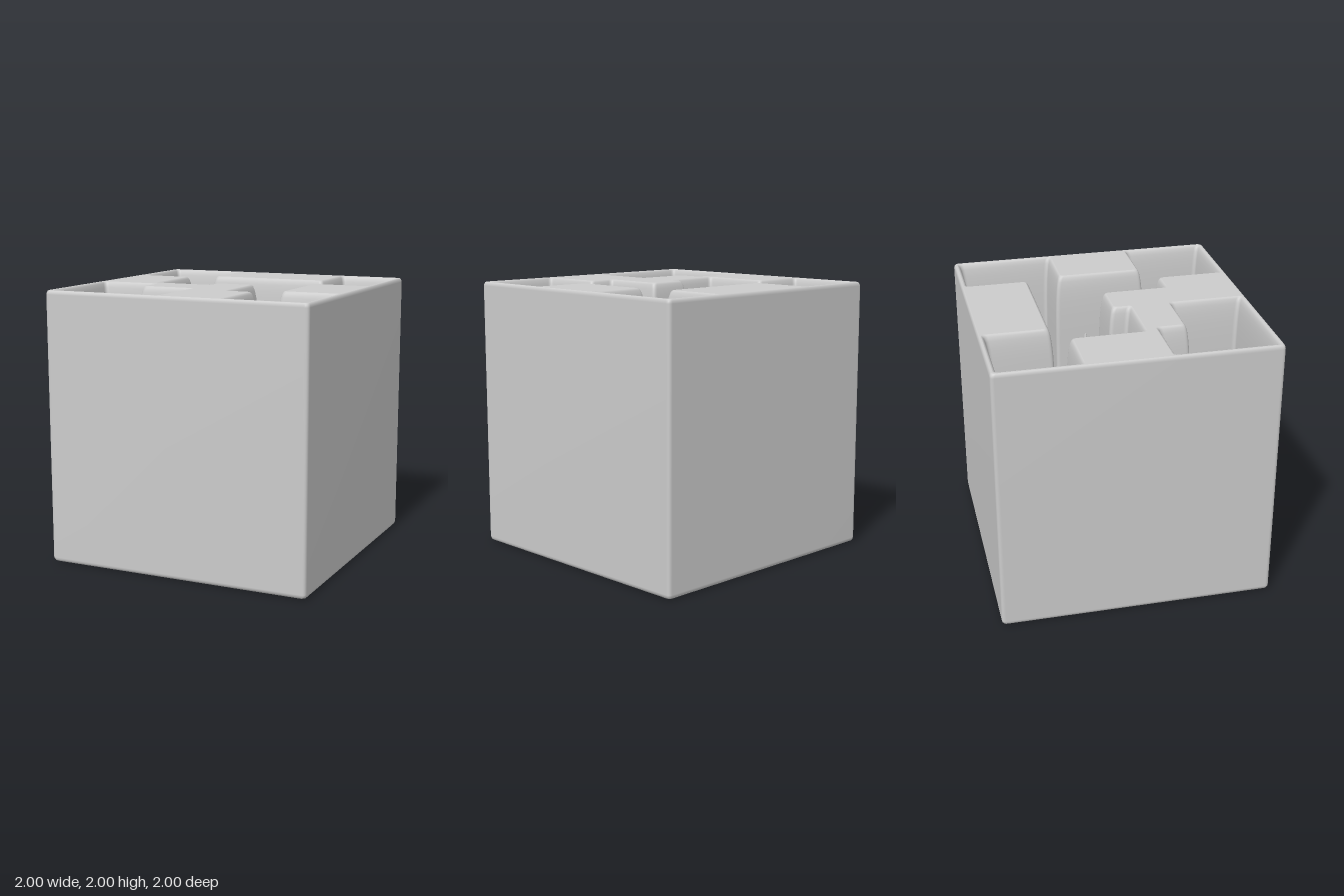
import * as THREE from 'three';

const material = new THREE.MeshStandardMaterial({ color: 0xcccccc });
const TOP = 2, FLOOR = 0.1;

// Right-angled outlines as [x, z], clockwise seen from above
const square = [[-1, -1], [1, -1], [1, 1], [-1, 1]];
const mainPocket = [
  [-0.975, -0.975], [-0.375, -0.975], [-0.375, -0.52], [0.5, -0.52], [0.5, -0.975],
  [0.975, -0.975], [0.975, -0.24], [0.56, -0.24], [0.56, 0.35], [0.975, 0.35],
  [0.975, 0.975], [0.36, 0.975], [0.36, 0.49], [0.16, 0.49], [0.16, 0.02],
  [-0.11, 0.02], [-0.11, 0.15], [-0.57, 0.15], [-0.57, -0.37], [-0.975, -0.37],
];
const cornerPocket = [
  [-0.975, 0.22], [-0.51, 0.22], [-0.51, 0.42], [-0.11, 0.42], [-0.11, 0.975], [-0.975, 0.975],
];

// Wall profiles as [inward offset, height]
const shellProfile = [[0.035, 0], [0.02, 0.003], [0.009, 0.009], [0.003, 0.02], [0, 0.035],
  [0, 1.97], [0.003, 1.985], [0.008, 1.996], [0.015, TOP]];
const pocketProfile = [[0, TOP], [0.008, 1.997], [0.017, 1.985], [0.026, 1.955], [0.034, 1.9],
  [0.041, 1.82], [0.046, 1.7], [0.05, 1.5], [0.05, 0.6], [0.054, 0.4], [0.06, 0.26],
  [0.068, 0.17], [0.08, 0.12], [0.09, 0.104], [0.1, FLOOR]];

// Outline moved inward by d, with every corner rounded
function ring(outline, d, radius = 0.03, steps = 5) {
  const n = outline.length, out = [];
  const dir = (a, b) => new THREE.Vector2(b[0] - a[0], b[1] - a[1]).normalize();
  outline.forEach((p, i) => {
    const u = dir(outline[(i + n - 1) % n], p), v = dir(p, outline[(i + 1) % n]);
    const c = new THREE.Vector2(p[0] - d * (u.y + v.y), p[1] + d * (u.x + v.x));
    const curve = new THREE.QuadraticBezierCurve(
      c.clone().addScaledVector(u, -radius), c, c.clone().addScaledVector(v, radius));
    out.push(...curve.getPoints(steps));
  });
  return out;
}

// Smooth wall swept through the rings of a profile
function wall(outline, profile, name) {
  const positions = [], index = [];
  let n = 0;
  profile.forEach(([d, y]) => {
    const points = ring(outline, d);
    n = points.length;
    points.forEach((p) => positions.push(p.x, y, p.y));
  });
  for (let i = 0; i < profile.length - 1; i++) {
    for (let j = 0; j < n; j++) {
      const k = (j + 1) % n;
      const a = i * n + j, b = i * n + k, c = a + n, e = b + n;
      index.push(a, c, b, b, c, e);
    }
  }
  const geometry = new THREE.BufferGeometry();
  geometry.setAttribute('position', new THREE.Float32BufferAttribute(positions, 3));
  geometry.setIndex(index);
  geometry.computeVertexNormals();
  return named(geometry, name);
}

// Flat horizontal face, facing up or down
function cap(points, holes, y, up, name) {
  const s = up ? -1 : 1;
  const flip = (list) => list.map((p) => new THREE.Vector2(p.x, s * p.y));
  const shape = new THREE.Shape(flip(points));
  shape.holes = holes.map((h) => new THREE.Path(flip(h)));
  const geometry = new THREE.ShapeGeometry(shape);
  geometry.rotateX(s * Math.PI / 2);
  geometry.translate(0, y, 0);
  return named(geometry, name);
}

function named(geometry, name) {
  const mesh = new THREE.Mesh(geometry, material);
  mesh.name = name;
  return mesh;
}

export function createModel() {
  const model = new THREE.Group();
  model.name = 'pocketedCube';

  // Outer cube with softened edges
  model.add(wall(square, shellProfile, 'outerShell'));
  model.add(cap(ring(square, 0.035), [], 0, false, 'underside'));
  model.add(cap(ring(square, 0.015), [ring(mainPocket, 0), ring(cornerPocket, 0)], TOP, true, 'topFace'));

  // Two sunken pockets
  [[mainPocket, 'mainPocket'], [cornerPocket, 'cornerPocket']].forEach(([outline, name]) => {
    const pocket = new THREE.Group();
    pocket.name = name;
    pocket.add(wall(outline, pocketProfile, name + 'Wall'));
    pocket.add(cap(ring(outline, 0.1), [], FLOOR, true, name + 'Floor'));
    model.add(pocket);
  });

  // Slender peg rising from the main pocket floor
  const pegProfile = [[0.08, FLOOR], [0.066, 0.115], [0.055, 0.16], [0.048, 0.25], [0.043, 0.4], [0.04, 0.6],
    [0.037, 1.3], [0.033, 1.5], [0.027, 1.68], [0.019, 1.8], [0.011, 1.87], [0.005, 1.9], [0, 1.91]];
  const peg = named(new THREE.LatheGeometry(pegProfile.map(([r, y]) => new THREE.Vector2(r, y)), 24), 'peg');
  peg.position.set(-0.3, 0, -0.23);
  model.add(peg);

  return model;
}
